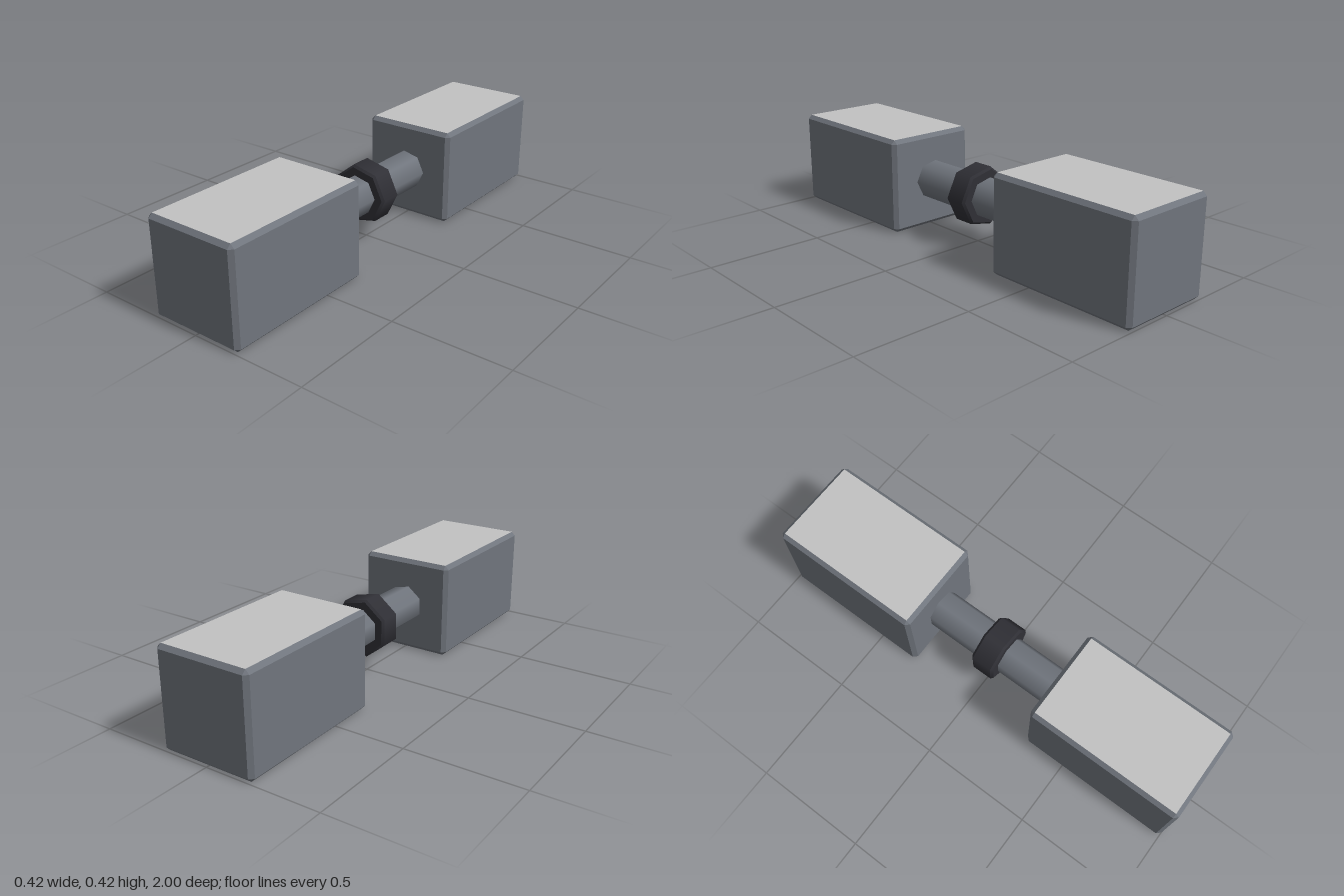
import * as THREE from 'three';
import { ConvexGeometry } from 'three/addons/geometries/ConvexGeometry.js';

const material = (name, color) => {
  const m = new THREE.MeshStandardMaterial({ color });
  m.name = name;
  return m;
};

// Box with all edges cut at 45 degrees; group 1 holds the top and bottom faces
function chamferedBox(w, h, d, c) {
  const points = [];
  for (const x of [-w / 2, w / 2]) for (const y of [-h / 2, h / 2]) for (const z of [-d / 2, d / 2]) {
    const cx = x - Math.sign(x) * c, cy = y - Math.sign(y) * c, cz = z - Math.sign(z) * c;
    points.push(new THREE.Vector3(x, cy, cz), new THREE.Vector3(cx, y, cz), new THREE.Vector3(cx, cy, z));
  }
  const geometry = new ConvexGeometry(points);
  const normals = geometry.attributes.normal;
  for (let i = 0; i < normals.count; i += 3) {
    geometry.addGroup(i, 3, Math.abs(normals.getY(i)) > 0.95 ? 1 : 0);
  }
  return geometry;
}

// Seven-sided cylinder lying along z, with a corner pointing to +x
function prism(name, rFront, rBack, length, z, mat, open) {
  const geometry = new THREE.CylinderGeometry(rFront, rBack, length, 7, 1, open, Math.PI / 2);
  geometry.rotateX(Math.PI / 2);
  const mesh = new THREE.Mesh(geometry, mat);
  mesh.name = name;
  mesh.position.z = z;
  return mesh;
}

export function createModel() {
  const steel = material('steel grey', 0x70757d);
  const light = material('light grey', 0xc2c2c2);
  const dark = material('dark collar', 0x303036);
  const model = new THREE.Group();
  model.name = 'dumbbell';
  const midY = 0.211;

  // Weights
  const blockGeometry = chamferedBox(0.422, 0.422, 0.694, 0.017);
  for (const side of [1, -1]) {
    const block = new THREE.Mesh(blockGeometry, [steel, light]);
    block.name = side > 0 ? 'frontWeight' : 'backWeight';
    block.position.set(0, midY, side * 0.653);
    model.add(block);
  }

  // Handle
  const handle = prism('handle', 0.086, 0.086, 0.64, 0, steel, true);
  handle.position.y = midY + 0.002;
  model.add(handle);

  // Collar: band, bevels and end faces
  const collar = new THREE.Group();
  collar.name = 'collar';
  collar.position.y = midY + 0.002;
  const r = 0.132, bevel = 0.01, half = 0.055;
  collar.add(prism('collarBand', r, r, 2 * (half - bevel), 0, dark, true));
  collar.add(prism('collarFrontBevel', r - bevel, r, bevel, half - bevel / 2, dark, false));
  collar.add(prism('collarBackBevel', r, r - bevel, bevel, -half + bevel / 2, dark, false));
  model.add(collar);

  return model;
}
